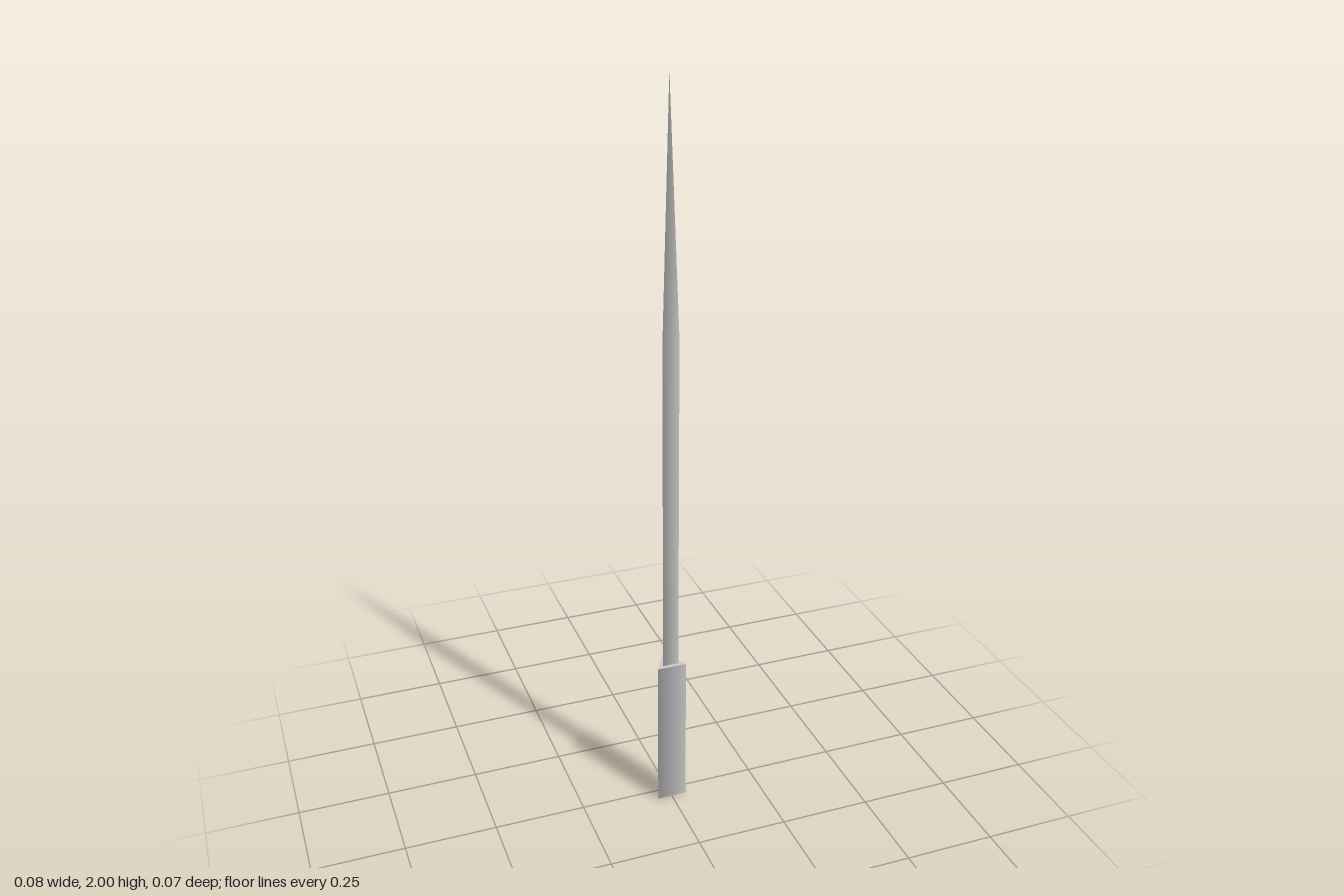
import * as THREE from 'three';

export function createModel() {
  const group = new THREE.Group();
  const material = new THREE.MeshStandardMaterial({ color: 0xcccccc });
  const axisZ = 0.012; // shared axis, so the triangular handle is centred on z
  const handleTop = 0.43;

  const add = (name, geometry, y) => {
    const mesh = new THREE.Mesh(geometry, material);
    mesh.name = name;
    mesh.position.set(0, y, axisZ);
    group.add(mesh);
  };

  // Three-sided handle, one edge to the back, closed at both ends
  add('handle', new THREE.CylinderGeometry(0.047, 0.047, handleTop, 3, 1, false, Math.PI), handleTop / 2);

  // Three-sided blade: straight shaft, then a long taper to a point
  const profile = [[0.0255, handleTop], [0.0255, 1.36], [0, 2]].map(([r, y]) => new THREE.Vector2(r, y));
  add('blade', new THREE.LatheGeometry(profile, 3, Math.PI), 0);

  return group;
}
